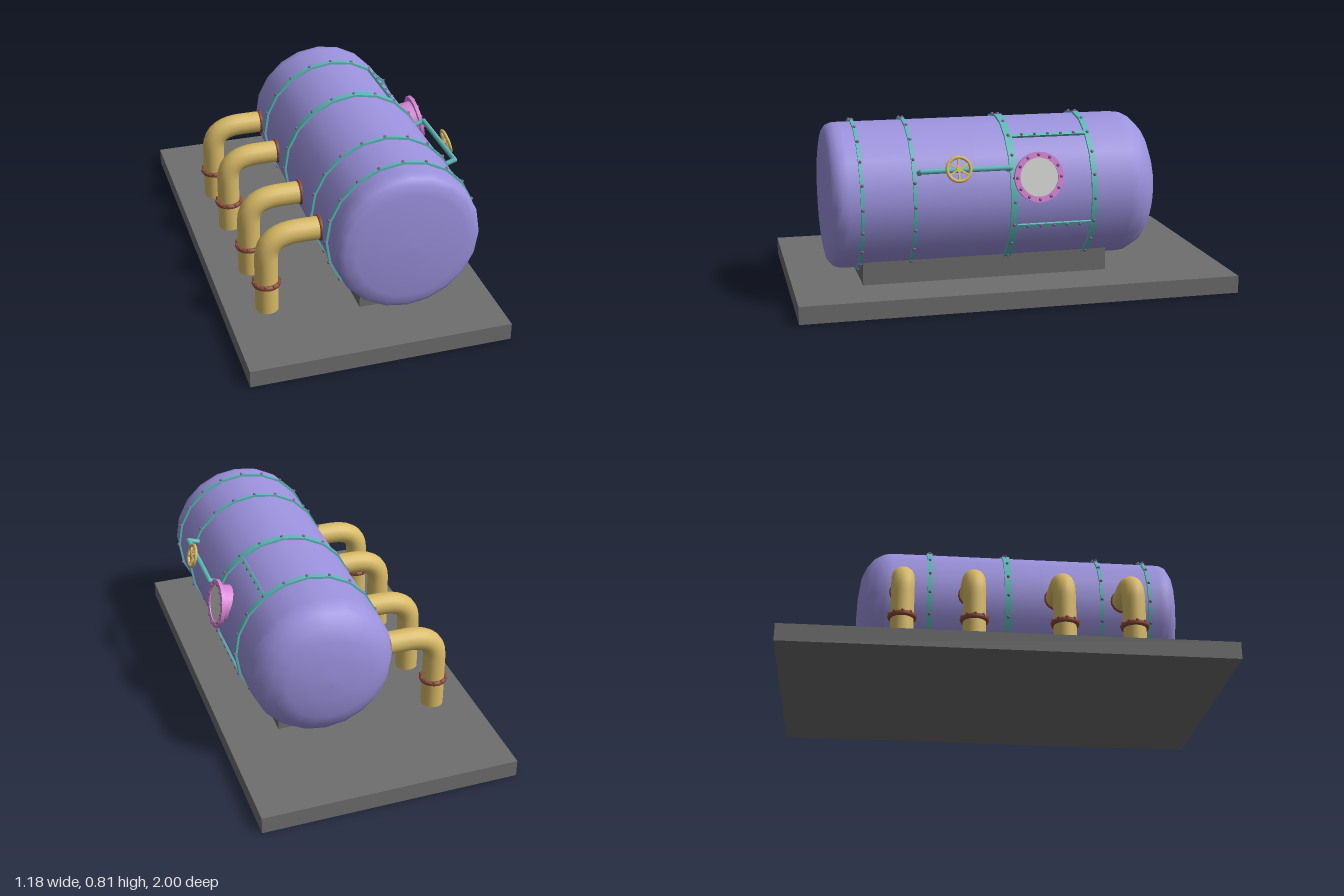
import * as THREE from 'three';

const CX = 0.166, CY = 0.462; // tank axis
const mat = (name, color, side = THREE.FrontSide) => {
  const m = new THREE.MeshStandardMaterial({ color, side });
  m.name = name;
  return m;
};

export function createModel() {
  const M = {
    violet: mat('tank violet', 0x9c92de),
    teal: mat('band teal', 0x60b6b9),
    yellow: mat('pipe yellow', 0xd8ba66),
    pink: mat('hatch pink', 0xd884d6),
    brown: mat('flange brown', 0x8c4c3a),
    grey: mat('base grey', 0x6f6f6f),
    glass: mat('window grey', 0xd6d8d4),
    bolt: mat('bolt purple', 0x94589c),
  };
  const model = new THREE.Group();
  model.name = 'storageTank';
  const add = (parent, name, geo, material, x = 0, y = 0, z = 0) => {
    const mesh = new THREE.Mesh(geo, material);
    mesh.name = name;
    mesh.position.set(x, y, z);
    parent.add(mesh);
    return mesh;
  };
  const group = (name, parent = model) => {
    const g = new THREE.Group();
    g.name = name;
    parent.add(g);
    return g;
  };

  // Base slab and saddle
  add(model, 'baseSlab', new THREE.BoxGeometry(1.18, 0.08, 2), M.grey, 0, 0.04, 0);
  add(model, 'saddle', new THREE.BoxGeometry(0.35, 0.14, 1.13), M.grey, 0.166, 0.13, 0.125);

  // Tank, turned about its long axis, with a deep rear dome and a flatter front
  const profile = [
    [0, -0.677], [0.1, -0.673], [0.2, -0.658], [0.26, -0.632], [0.302, -0.595], [0.326, -0.55], [0.331, -0.51],
    [0.331, -0.3], [0.331, 0.2], [0.331, 0.76], [0.329, 0.79], [0.318, 0.816], [0.295, 0.833],
    [0.25, 0.842], [0.13, 0.852], [0, 0.855],
  ].map(([r, z]) => new THREE.Vector2(r, z));
  const tank = group('tank');
  tank.position.set(CX, CY, 0);
  add(tank, 'tankShell', new THREE.LatheGeometry(profile, 20), M.violet).rotation.x = Math.PI / 2;

  // Bolted bands around the tank
  const boltGeo = new THREE.SphereGeometry(0.0075, 8, 6);
  for (const [z, w] of [[0.705, 0.016], [0.475, 0.016], [0.033, 0.034], [-0.335, 0.026]]) {
    const band = group('band', tank);
    band.position.z = z;
    add(band, 'bandRing', new THREE.CylinderGeometry(0.341, 0.341, w, 20), M.teal).rotation.x = Math.PI / 2;
    for (let i = 0; i < 20; i++) {
      const a = (i / 20) * Math.PI * 2;
      add(band, 'bandBolt', boltGeo, M.bolt, 0.341 * Math.cos(a), 0.341 * Math.sin(a), 0);
    }
  }

  // Lengthwise straps between the two rear bands
  for (const deg of [54, -20]) {
    const strap = group('strap', tank);
    strap.rotation.z = THREE.MathUtils.degToRad(deg);
    add(strap, 'strapBar', new THREE.BoxGeometry(0.02, 0.018, 0.36), M.teal, 0.331, 0, -0.15);
    for (let i = 0; i < 5; i++) add(strap, 'strapBolt', boltGeo, M.bolt, 0.341, 0, -0.03 - i * 0.06);
  }

  // Four elbow pipes with flanges
  const path = new THREE.CurvePath();
  const v = (x, y, z = 0) => new THREE.Vector3(x, y, z);
  path.add(new THREE.LineCurve3(v(-0.405, 0.07), v(-0.405, 0.345)));
  path.add(new THREE.QuadraticBezierCurve3(v(-0.405, 0.345), v(-0.405, 0.458), v(-0.26, 0.458)));
  path.add(new THREE.LineCurve3(v(-0.26, 0.458), v(-0.13, 0.458)));
  const pipeGeo = new THREE.TubeGeometry(path, 26, 0.052, 18);
  const flangeGeo = new THREE.TorusGeometry(0.053, 0.0125, 8, 24);
  const collarGeo = new THREE.TorusGeometry(0.049, 0.01, 8, 24);
  for (const z of [-0.465, -0.145, 0.26, 0.575]) {
    const pipe = group('outletPipe');
    pipe.position.z = z;
    add(pipe, 'elbowPipe', pipeGeo, M.yellow);
    add(pipe, 'pipeFlange', flangeGeo, M.brown, -0.405, 0.217, 0).rotation.x = Math.PI / 2;
    add(pipe, 'tankCollar', collarGeo, M.brown, -0.163, 0.458, 0).rotation.y = Math.PI / 2;
    for (let i = 0; i < 10; i++) {
      const a = (i / 10) * Math.PI * 2;
      add(pipe, 'flangeBolt', boltGeo, M.brown, -0.405 + 0.06 * Math.cos(a), 0.225, 0.06 * Math.sin(a));
    }
  }

  // Groups whose local +z points outward from the tank's left side
  const outward = (name, x, y, z, tilt) => {
    const g = group(name);
    g.position.set(x, y, z);
    g.rotation.set(0, Math.PI / 2, tilt, 'ZYX');
    return g;
  };

  // Round window hatch
  const hatch = outward('windowHatch', 0.513, 0.573, -0.072, 0.18);
  const ring = new THREE.Shape().absarc(0, 0, 0.111, 0, Math.PI * 2);
  ring.holes.push(new THREE.Path().absarc(0, 0, 0.086, 0, Math.PI * 2, true));
  add(hatch, 'hatchRing', new THREE.ExtrudeGeometry(ring, { depth: 0.016, bevelEnabled: false, curveSegments: 24 }),
    M.pink, 0, 0, -0.008);
  add(hatch, 'hatchNeck', new THREE.CylinderGeometry(0.087, 0.087, 0.06, 24, 1, true), M.pink, 0, 0, -0.035)
    .rotation.x = Math.PI / 2;
  add(hatch, 'hatchGlass', new THREE.CircleGeometry(0.088, 24), M.glass, 0, 0, 0.003);
  for (let i = 0; i < 12; i++) {
    const a = (i / 12) * Math.PI * 2;
    add(hatch, 'hatchBolt', boltGeo, M.bolt, 0.099 * Math.cos(a), 0.099 * Math.sin(a), 0.009);
  }

  // Side pipe bent into the tank at both ends
  const rail = new THREE.CurvePath();
  const pts = [v(0.455, 0.602, 0.452), v(0.51, 0.621, 0.452), v(0.51, 0.621, 0.056), v(0.455, 0.602, 0.056)];
  const railPipe = group('valvePipe');
  for (let i = 0; i < 3; i++) {
    rail.add(new THREE.LineCurve3(pts[i], pts[i + 1]));
    add(railPipe, 'pipeRun', new THREE.TubeGeometry(rail.curves[i], 1, 0.012, 10), M.teal);
  }
  for (const p of [pts[1], pts[2]]) add(railPipe, 'pipeCorner', new THREE.SphereGeometry(0.012, 10, 8), M.teal, p.x, p.y, p.z);

  // Valve handwheel
  const wheel = outward('handwheel', 0.532, 0.629, 0.29, 0.29);
  add(wheel, 'wheelRim', new THREE.TorusGeometry(0.052, 0.0075, 8, 24), M.yellow);
  add(wheel, 'wheelHub', new THREE.CylinderGeometry(0.013, 0.013, 0.016, 12), M.yellow).rotation.x = Math.PI / 2;
  add(wheel, 'wheelStem', new THREE.CylinderGeometry(0.008, 0.008, 0.03, 10), M.yellow, 0, 0, -0.014).rotation.x = Math.PI / 2;
  for (let i = 0; i < 6; i++) {
    const a = (i / 6) * Math.PI * 2;
    add(wheel, 'wheelSpoke', new THREE.BoxGeometry(0.008, 0.05, 0.007), M.yellow, -0.026 * Math.sin(a), 0.026 * Math.cos(a), 0)
      .rotation.z = a;
  }
  return model;
}
